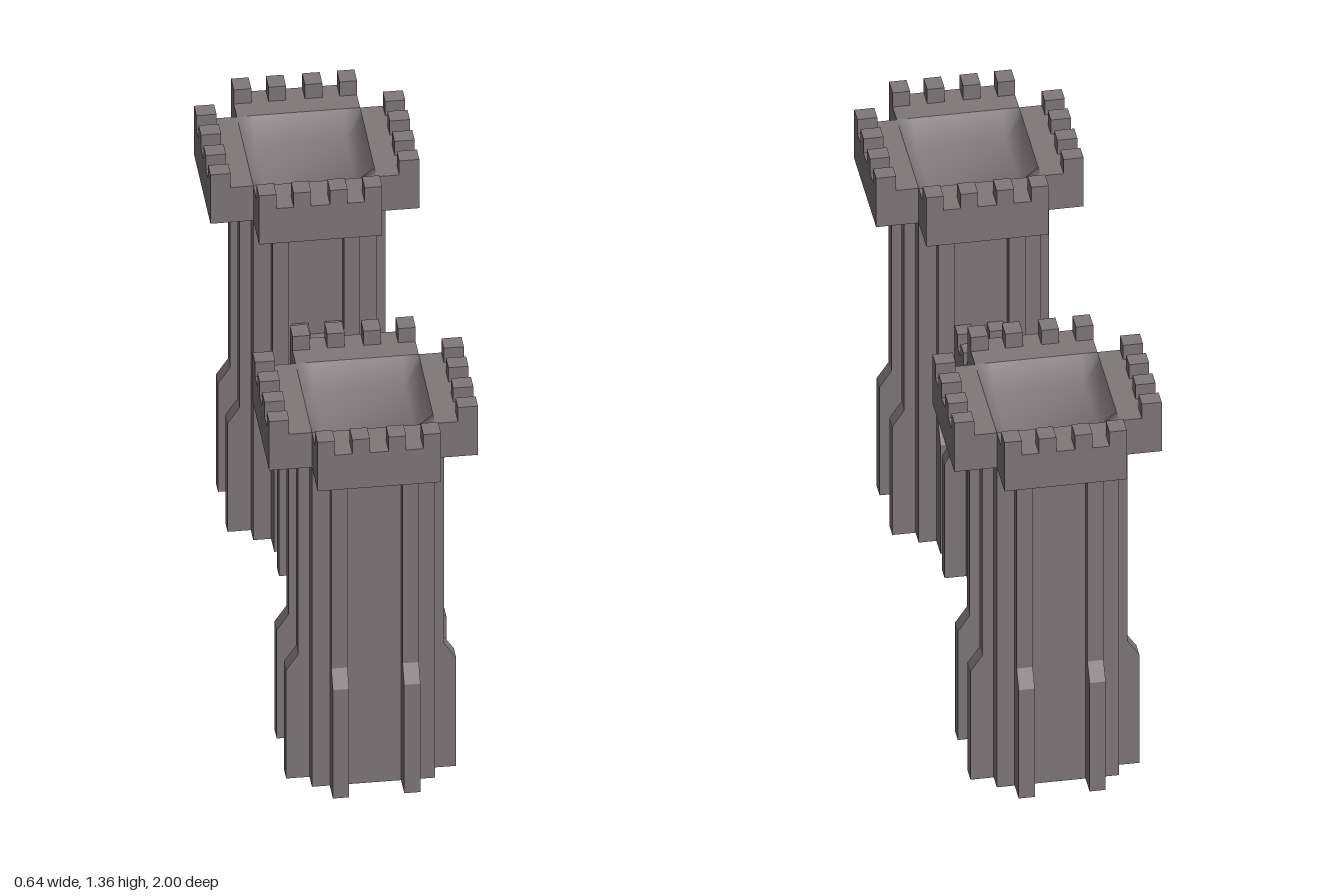
import * as THREE from 'three';

const stone = new THREE.MeshStandardMaterial({ color: 0x80787a });
stone.name = 'stone';

const add = (parent, name, geometry, x = 0, y = 0, z = 0) => {
  const mesh = new THREE.Mesh(geometry, stone);
  mesh.name = name;
  mesh.position.set(x, y, z);
  parent.add(mesh);
  return mesh;
};

// Box given by its two opposite corners
const block = (parent, name, a, b) => add(parent, name,
  new THREE.BoxGeometry(b[0] - a[0], b[1] - a[1], b[2] - a[2]),
  (a[0] + b[0]) / 2, (a[1] + b[1]) / 2, (a[2] + b[2]) / 2);

const polygon = (points) => new THREE.Shape(points.map(([x, y]) => new THREE.Vector2(x, y)));

const extrude = (shape, depth) =>
  new THREE.ExtrudeGeometry(shape, { depth, bevelEnabled: false }).translate(0, 0, -depth / 2);

// Pilaster reaching out along +x, with a thicker foot and a sloped shoulder
const buttress = (inner, foot, upper, y1, y2, top, width) => extrude(polygon([
  [inner, 0], [foot, 0], [foot, y1], [upper, y2], [upper, top], [inner, top],
]), width);

// Shallow dished roof with a flat floor
function roofGeometry(half, floorHalf, depth) {
  const g = new THREE.PlaneGeometry(2 * half, 2 * half, 3, 3).rotateX(-Math.PI / 2);
  const p = g.attributes.position;
  const inset = (v) => Math.sign(v) * (Math.abs(v) > half * 0.9 ? half : floorHalf);
  for (let i = 0; i < p.count; i++) {
    const x = inset(p.getX(i)), z = inset(p.getZ(i));
    const onFloor = Math.max(Math.abs(x), Math.abs(z)) < half;
    p.setXYZ(i, x, onFloor ? -depth : 0, z);
  }
  g.computeVertexNormals();
  return g;
}

function createTower() {
  const tower = new THREE.Group();
  tower.name = 'tower';
  const core = 0.19, out = 0.322;
  block(tower, 'shaft', [-core, 0, -core], [core, 1.181, core]);
  add(tower, 'roof', roofGeometry(core, 0.14, 0.08), 0, 1.308, 0);

  const pilaster = buttress(0.18, 0.262, 0.225, 0.4, 0.455, 1.181, 0.05);
  for (let i = 0; i < 4; i++) {
    const side = new THREE.Group();
    side.name = 'towerSide';
    side.rotation.y = i * Math.PI / 2;
    tower.add(side);
    for (const s of [-1, 1]) add(side, 'towerButtress', pilaster, 0, 0, s * 0.11);
    block(side, 'parapet', [core, 1.18, -core], [out, 1.308, core]);
    for (const z of [-0.163, -0.056, 0.056, 0.163]) {
      block(side, 'towerMerlon', [out - 0.062, 1.3, z - 0.027], [out, 1.36, z + 0.027]);
    }
  }
  return tower;
}

// Rectangular window hole
function windowHole(z, halfWidth, y1, y2) {
  return new THREE.Path([
    [z - halfWidth, y1], [z - halfWidth, y2], [z + halfWidth, y2], [z + halfWidth, y1],
  ].map(([x, y]) => new THREE.Vector2(x, y)));
}

function createWall() {
  const wall = new THREE.Group();
  wall.name = 'gateWall';
  const half = 0.075, top = 0.745, end = 0.49, doorHalf = 0.017;

  // Outer skins with the pointed arch cut out
  const arch = [[-0.222, 0], [-0.222, 0.14], [-0.18, 0.325], [-0.085, 0.49]];
  const skin = polygon([
    [-end, 0], ...arch, [0, 0.53], ...arch.map(([x, y]) => [-x, y]).reverse(),
    [end, 0], [end, top], [-end, top],
  ]);
  skin.holes = [-0.08, 0.08].map((z) => windowHole(z, 0.024, 0.605, 0.69));
  const skinGeometry = extrude(skin, half - doorHalf).rotateY(-Math.PI / 2);
  for (const s of [-1, 1]) add(wall, 'wallSkin', skinGeometry, s * (half + doorHalf) / 2);

  // Middle layer holding the two door leaves, split by a narrow seam
  const seam = 0.0015;
  const middle = polygon([
    [-end, 0], [-seam, 0], [-seam, 0.53], [seam, 0.53], [seam, 0], [end, 0], [end, top], [-end, top],
  ]);
  middle.holes = [-0.08, 0.08].map((z) => windowHole(z, 0.022, 0.62, 0.68));
  add(wall, 'doorLeaves', extrude(middle, 2 * doorHalf).rotateY(-Math.PI / 2));

  // Battlements along both edges
  for (let i = 0; i < 10; i++) {
    const z = (i - 4.5) * 0.102;
    for (const s of [-1, 1]) {
      const x = s * (half - 0.025);
      block(wall, 'wallMerlon', [x - 0.025, top - 0.005, z - 0.025], [x + 0.025, 0.79, z + 0.025]);
    }
  }

  // Buttresses on both faces
  const pilaster = buttress(0.06, 0.142, 0.108, 0.42, 0.485, top, 0.046);
  for (const s of [-1, 1]) {
    for (const z of [-0.306, 0.306]) {
      add(wall, 'wallButtress', pilaster, 0, 0, z).rotation.y = s > 0 ? 0 : Math.PI;
    }
  }
  wall.position.x = 0.004;
  return wall;
}

export function createModel() {
  const model = new THREE.Group();
  model.name = 'castleGate';
  for (const s of [-1, 1]) {
    const tower = createTower();
    tower.position.z = s * 0.678;
    model.add(tower);
  }
  model.add(createWall());
  return model;
}
